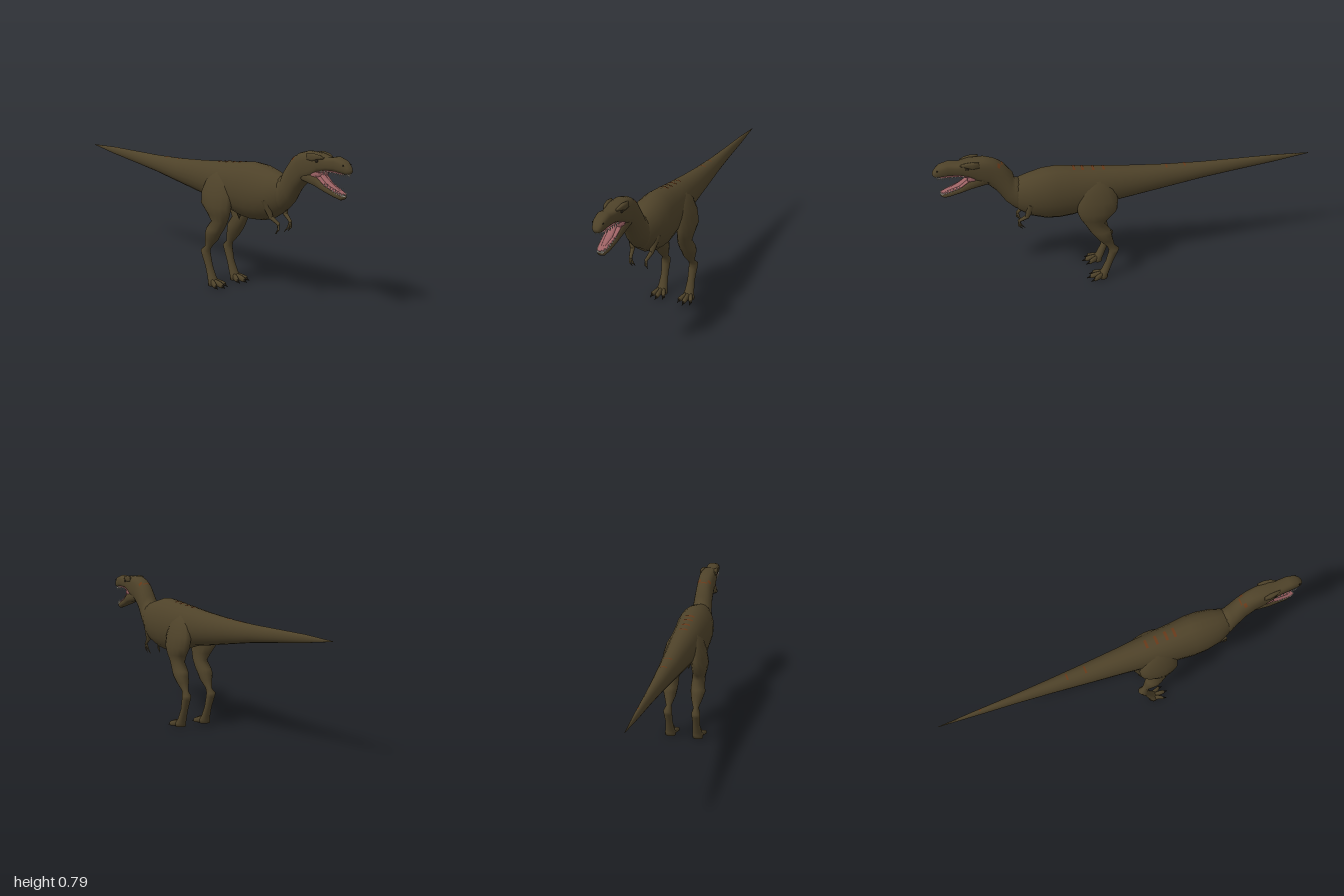
import * as THREE from 'three';

const mat = (name, color, side = THREE.FrontSide) => {
  const m = new THREE.MeshStandardMaterial({ color, side });
  m.name = name;
  return m;
};

// Section: [front/top z, y, back/bottom z, y, half width, centre x, squareness]
const sec = (z, top, bottom, w) => [z, top, z, bottom, w, 0, 1];
const point = (s, a, grow = 1) => {
  const [tz, ty, bz, by, w, cx = 0, p = 1] = s;
  const pow = v => Math.sign(v) * Math.abs(v) ** p * grow;
  const c = pow(Math.cos(a)) / 2, n = pow(Math.sin(a));
  return [cx + n * w, (ty + by) / 2 + c * (ty - by), (tz + bz) / 2 + c * (tz - bz)];
};

// Skin closed rings with end caps, turning faces outwards
function loft(sections, n = 16) {
  const pos = [], idx = [], rows = sections.length;
  sections.forEach(s => {
    for (let i = 0; i < n; i++) pos.push(...point(s, i / n * Math.PI * 2));
  });
  for (let r = 0; r < rows - 1; r++) for (let i = 0; i < n; i++) {
    const a = r * n + i, b = r * n + (i + 1) % n;
    idx.push(a, b, b + n, a, b + n, a + n);
  }
  [0, rows - 1].forEach((r, end) => {
    const s = sections[r], c = pos.length / 3;
    pos.push(s[5] || 0, (s[1] + s[3]) / 2, (s[0] + s[2]) / 2);
    for (let i = 0; i < n; i++) {
      const a = r * n + i, b = r * n + (i + 1) % n;
      idx.push(...(end ? [a, b, c] : [b, a, c]));
    }
  });
  const v = i => new THREE.Vector3().fromArray(pos, i * 3);
  let volume = 0;
  for (let i = 0; i < idx.length; i += 3) volume += v(idx[i]).dot(v(idx[i + 1]).cross(v(idx[i + 2])));
  if (volume < 0) idx.reverse();
  const g = new THREE.BufferGeometry();
  g.setAttribute('position', new THREE.Float32BufferAttribute(pos, 3));
  g.setIndex(idx);
  g.computeVertexNormals();
  return g;
}

// Thin marking lying just above a lofted surface, between two section positions
function patch(sections, t0, t1, a0, a1) {
  const g = new THREE.PlaneGeometry(1, 1, 6, 2), p = g.attributes.position;
  for (let i = 0; i < p.count; i++) {
    const t = t0 + (t1 - t0) * (p.getY(i) + 0.5), k = Math.floor(t), f = t - k;
    const s = sections[k].map((v, j) => v + (sections[k + 1][j] - v) * f);
    p.setXYZ(i, ...point(s, a0 + (a1 - a0) * (p.getX(i) + 0.5), 1.015));
  }
  g.computeVertexNormals();
  return g;
}

// Tapered rod between two points
function rod(a, b, r0, r1, sides = 8) {
  const A = new THREE.Vector3(...a), B = new THREE.Vector3(...b), d = B.clone().sub(A);
  const g = new THREE.CylinderGeometry(r1, r0, d.length(), sides);
  g.applyQuaternion(new THREE.Quaternion().setFromUnitVectors(new THREE.Vector3(0, 1, 0), d.normalize()));
  const m = A.add(B).multiplyScalar(0.5);
  return g.translate(m.x, m.y, m.z);
}

export function createModel() {
  const hide = mat('hide', 0x4e4229), marking = mat('rustMarking', 0x66391a, THREE.DoubleSide);
  const flesh = mat('mouthFlesh', 0x9c6264), ivory = mat('ivory', 0xd0ccbe);
  const dark = mat('darkEyeAndClaw', 0x241e14);
  const model = new THREE.Group();
  const add = (name, geo, m = hide, parent = model) => {
    const mesh = new THREE.Mesh(geo, m);
    mesh.name = name;
    parent.add(mesh);
    return mesh;
  };

  // Torso and tail
  const trunk = [
    sec(-1, 0.599, 0.595, 0.001), sec(-0.8, 0.609, 0.567, 0.012), sec(-0.6, 0.612, 0.545, 0.022),
    sec(-0.4, 0.615, 0.522, 0.036), sec(-0.2, 0.624, 0.492, 0.052), sec(0, 0.641, 0.462, 0.068),
    sec(0.1, 0.652, 0.448, 0.078), sec(0.2, 0.663, 0.42, 0.088), sec(0.3, 0.676, 0.395, 0.094),
    sec(0.38, 0.686, 0.389, 0.102), sec(0.45, 0.681, 0.397, 0.101), sec(0.52, 0.663, 0.42, 0.09),
    sec(0.58, 0.645, 0.458, 0.068), sec(0.61, 0.62, 0.5, 0.045),
  ];
  add('torsoAndTail', loft(trunk, 18));
  add('pelvicKeel', new THREE.ConeGeometry(0.042, 0.11, 8).rotateX(Math.PI).translate(0, 0.42, 0.265));

  // Neck, skull and snout
  const neck = [
    [0.53, 0.64, 0.54, 0.44, 0.07, 0, 1], [0.592, 0.65, 0.6, 0.475, 0.062, 0, 1],
    [0.6, 0.685, 0.645, 0.52, 0.055, 0, 1], [0.645, 0.745, 0.685, 0.588, 0.05, 0, 0.9],
    [0.69, 0.775, 0.735, 0.643, 0.049, 0, 0.8], [0.74, 0.79, 0.785, 0.665, 0.048, 0, 0.7],
    [0.82, 0.788, 0.825, 0.7, 0.044, 0, 0.65], [0.87, 0.776, 0.87, 0.713, 0.037, 0, 0.65],
    [0.92, 0.785, 0.92, 0.715, 0.036, 0, 0.7], [0.965, 0.773, 0.96, 0.71, 0.031, 0, 0.75],
    [0.99, 0.748, 0.985, 0.71, 0.023, 0, 0.8], [1, 0.733, 0.996, 0.714, 0.013, 0, 0.9],
  ];
  add('neckAndSkull', loft(neck, 20));

  // Lower jaw
  const jaw = [
    [0.73, 0.71, 0.72, 0.645, 0.042, 0, 0.7], [0.82, 0.685, 0.81, 0.63, 0.044, 0, 0.6],
    [0.87, 0.645, 0.86, 0.613, 0.036, 0, 0.6], [0.93, 0.622, 0.92, 0.595, 0.029, 0, 0.6],
    [0.965, 0.61, 0.95, 0.585, 0.019, 0, 0.7], [0.973, 0.605, 0.963, 0.59, 0.01, 0, 0.8],
  ];
  add('lowerJaw', loft(jaw));

  // Mouth lining, throat and palate
  const lining = jaw.slice(1, 5).map(([z, y, , , w]) => [z + 0.002, y + 0.004, z - 0.004, y - 0.004, w * 0.88, 0, 0.5]);
  add('mouthFloor', loft(lining), flesh);
  add('throat', loft([[0.79, 0.715, 0.79, 0.66, 0.041, 0, 0.7], [0.828, 0.71, 0.832, 0.672, 0.038, 0, 0.7]]), flesh);
  add('palate', loft([[0.82, 0.706, 0.82, 0.696, 0.037, 0, 0.5], [0.87, 0.717, 0.87, 0.709, 0.031, 0, 0.5],
    [0.92, 0.719, 0.92, 0.711, 0.03, 0, 0.5], [0.965, 0.715, 0.965, 0.707, 0.024, 0, 0.6]]), flesh);
  add('tongue', loft([[0.83, 0.69, 0.83, 0.67, 0.018], [0.88, 0.655, 0.875, 0.638, 0.018],
    [0.935, 0.629, 0.93, 0.618, 0.01]], 10), flesh);

  // Rows of teeth
  const teeth = new THREE.Group();
  teeth.name = 'teeth';
  model.add(teeth);
  const curve = pts => new THREE.CatmullRomCurve3(pts.map(p => new THREE.Vector3(...p)));
  const upper = curve([[0.035, 0.713, 0.85], [0.032, 0.715, 0.92], [0.025, 0.712, 0.965], [0.004, 0.714, 0.992]]);
  const lower = curve([[0.034, 0.648, 0.87], [0.026, 0.622, 0.93], [0.016, 0.61, 0.962], [0.003, 0.606, 0.969]]);
  for (const s of [-1, 1]) for (let i = 0; i < 13; i++) {
    const u = upper.getPoint(i / 12), l = lower.getPoint(i / 12);
    const h = 0.014 + 0.006 * (i % 3 === 1);
    add('upperTooth', rod([s * u.x, u.y, u.z], [s * u.x, u.y - h, u.z - 0.003], 0.0034, 0.0003, 5), ivory, teeth);
    add('lowerTooth', rod([s * l.x, l.y - 0.003, l.z], [s * l.x, l.y + h * 0.75, l.z + 0.004], 0.003, 0.0003, 5), ivory, teeth);
  }

  for (const s of [-1, 1]) {
    const side = new THREE.Group();
    side.name = s > 0 ? 'leftSide' : 'rightSide';
    model.add(side);
    const put = (name, geo, m) => add(name, geo, m, side);

    // Brow ridge, eye and nostril
    put('browRidge', loft([[0.765, 0.787, 0.765, 0.755, 0.006, s * 0.042, 0.7], [0.8, 0.79, 0.8, 0.752, 0.012, s * 0.04, 0.7],
      [0.835, 0.785, 0.835, 0.765, 0.009, s * 0.036, 0.7], [0.86, 0.776, 0.86, 0.768, 0.004, s * 0.03, 0.7]], 10));
    put('eye', new THREE.SphereGeometry(0.009, 12, 8).scale(0.6, 0.8, 1.1).translate(s * 0.0425, 0.757, 0.826), dark);
    put('nostril', new THREE.SphereGeometry(0.005, 8, 6).scale(0.5, 0.7, 1).translate(s * 0.027, 0.753, 0.974), dark);

    // Leg: [y, front z, back z, inner x, outer x]
    const leg = [
      [0.61, 0.23, 0.13, 0.03, 0.07], [0.56, 0.27, 0.09, 0.03, 0.1], [0.5, 0.287, 0.068, 0.035, 0.118],
      [0.44, 0.285, 0.075, 0.04, 0.128], [0.395, 0.268, 0.115, 0.04, 0.119], [0.355, 0.245, 0.145, 0.038, 0.109],
      [0.31, 0.22, 0.11, 0.037, 0.115], [0.285, 0.2, 0.105, 0.039, 0.119], [0.25, 0.178, 0.1, 0.045, 0.108],
      [0.205, 0.135, 0.09, 0.062, 0.092], [0.182, 0.123, 0.066, 0.056, 0.104], [0.16, 0.124, 0.074, 0.056, 0.103],
      [0.1, 0.14, 0.1, 0.058, 0.098], [0.045, 0.165, 0.12, 0.053, 0.103], [0.02, 0.185, 0.13, 0.048, 0.11],
      [0.002, 0.185, 0.13, 0.048, 0.11],
    ].map(([y, f, b, i, o]) => [f, y, b, y, (o - i) / 2, s * (i + o) / 2]);
    put('leg', loft(leg, 14));

    // Toes with claws
    [-1, 0, 1].forEach(k => {
      const x = s * (0.079 + k * 0.012), tip = s * (0.079 + k * 0.032), z = 0.225 - 0.018 * Math.abs(k);
      put('toe', loft([[0.155, 0.04, 0.155, 0.002, 0.012, x], [z - 0.022, 0.034, z - 0.022, 0, 0.012, (x + tip) / 2],
        [z, 0.026, z, 0, 0.01, tip]], 10));
      put('toeClaw', rod([tip, 0.012, z - 0.003], [tip + s * k * 0.003, 0.002, z + 0.022], 0.008, 0.001, 6), dark);
    });

    // Arm with two clawed fingers
    const p = ([x, y, z]) => [s * x, y, z];
    const shoulder = p([0.068, 0.525, 0.52]), elbow = p([0.052, 0.438, 0.545]), wrist = p([0.042, 0.41, 0.587]);
    put('upperArm', rod(shoulder, elbow, 0.024, 0.012));
    put('elbow', new THREE.SphereGeometry(0.012, 10, 8).translate(...elbow));
    put('forearm', rod(elbow, wrist, 0.0115, 0.008));
    put('wrist', new THREE.SphereGeometry(0.009, 10, 8).translate(...wrist));
    [[0.044, 0.38, 0.592, 0.572], [0.034, 0.375, 0.58, 0.556]].forEach(([x, y, z, end]) => {
      put('finger', rod(wrist, p([x, y, z]), 0.007, 0.005, 6));
      put('fingerClaw', rod(p([x, y + 0.003, z]), p([x - 0.002, y - 0.023, end]), 0.005, 0.001, 6));
    });

    // Rust blotches on the neck flanks
    put('neckBlotch', patch(neck, 3.3, 3.6, s * 0.35, s * 0.8), marking);
  }

  // Rust bars along the back
  [6.25, 6.8, 7.35, 7.8].forEach(t => add('backBar', patch(trunk, t, t + 0.14, -0.28, 0.28), marking));
  [[1.1, 0.3], [3.45, 0.4], [3.95, 0.4]].forEach(([t, a]) => add('tailBar', patch(trunk, t, t + 0.05, -a, a), marking));
  add('napeBar', patch(neck, 3.05, 3.2, -0.35, 0.35), marking);
  return model;
}
